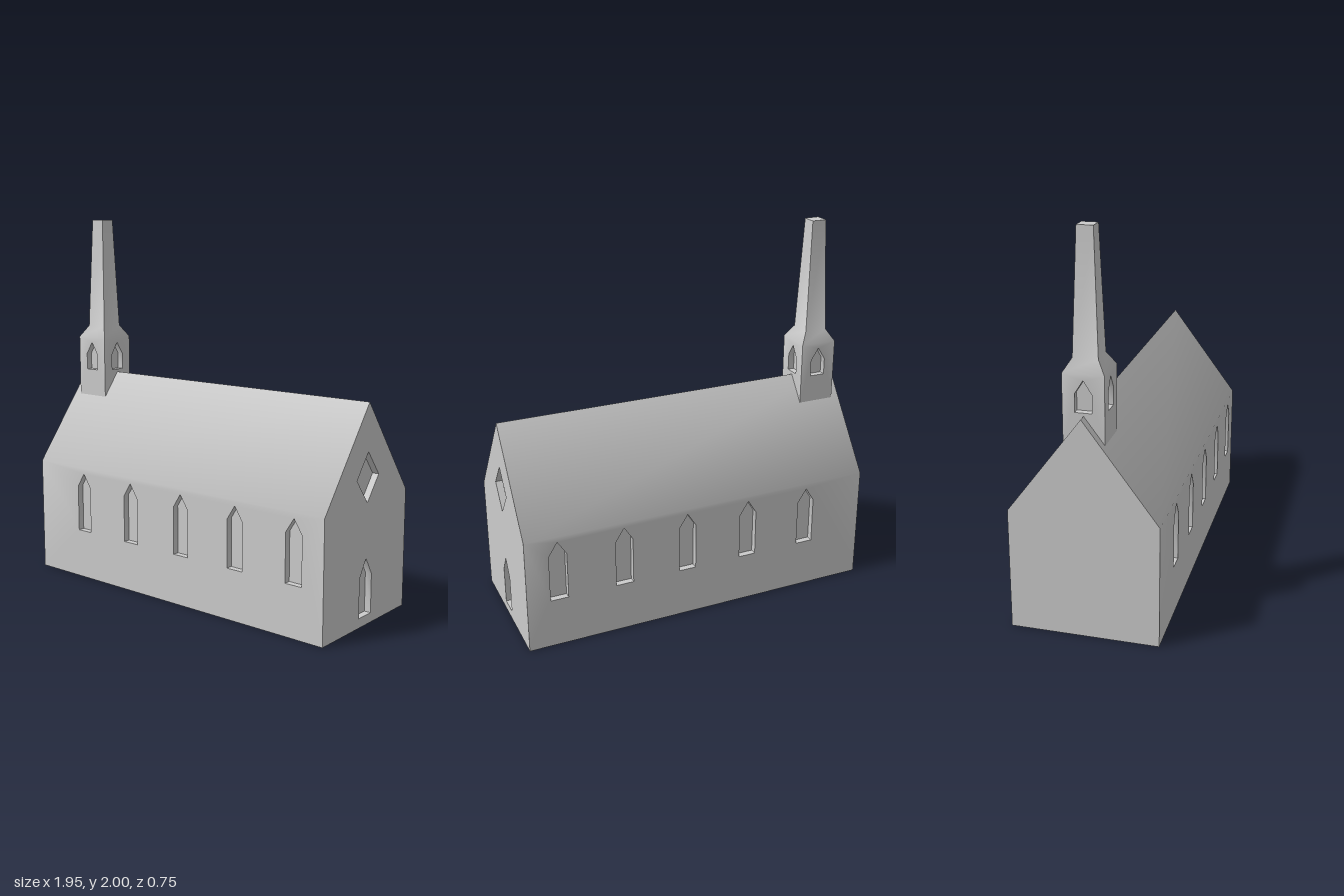
import * as THREE from 'three';
import { mergeGeometries, toCreasedNormals } from 'three/addons/utils/BufferGeometryUtils.js';

const RECESS = 0.035;
const HALF_L = 0.977, HALF_W = 0.375, EAVE = 0.63, RIDGE = 1.13;
const TOWER_X = -0.83, TOWER_R = 0.102, TOWER_TOP = 1.33;

// Flat quads given as four corners, counter-clockwise from outside
function quads(list) {
  const pos = [];
  for (const [a, b, c, d] of list) pos.push(...a, ...b, ...c, ...a, ...c, ...d);
  const g = new THREE.BufferGeometry();
  g.setAttribute('position', new THREE.Float32BufferAttribute(pos, 3));
  return g;
}

const toVecs = (pts) => pts.map(([x, y]) => new THREE.Vector2(x, y));

function flat(shape) {
  const g = new THREE.ShapeGeometry(shape).toNonIndexed();
  g.deleteAttribute('uv');
  g.deleteAttribute('normal');
  return g;
}

// Wall facing +z with recessed openings (counter-clockwise outlines)
function wall(outline, openings = []) {
  const shape = new THREE.Shape(toVecs(outline));
  const parts = [];
  for (const pts of openings) {
    shape.holes.push(new THREE.Path(toVecs(pts)));
    parts.push(flat(new THREE.Shape(toVecs(pts))).translate(0, 0, -RECESS));
    parts.push(quads(pts.map(([x, y], i) => {
      const [u, v] = pts[(i + 1) % pts.length];
      return [[x, y, 0], [u, v, 0], [u, v, -RECESS], [x, y, -RECESS]];
    })));
  }
  return mergeGeometries([flat(shape), ...parts]);
}

// Pointed window or door outline
const lancet = (x, halfW, y0, y1, peak) =>
  [[x - halfW, y0], [x + halfW, y0], [x + halfW, y1], [x, peak], [x - halfW, y1]];

// Height of the roof surface at distance z from the ridge
const roofY = (z) => RIDGE - (RIDGE - EAVE) * z / HALF_W;

export function createModel() {
  const group = new THREE.Group();
  const stone = new THREE.MeshStandardMaterial({ color: 0xcccccc });
  stone.name = 'light grey stone';

  const add = (name, parts) => {
    const mesh = new THREE.Mesh(toCreasedNormals(mergeGeometries(parts), 0.8), stone);
    mesh.name = name;
    group.add(mesh);
  };

  // Nave: side walls, gables, roof slopes and floor
  const side = [[-HALF_L, 0], [HALF_L, 0], [HALF_L, EAVE], [-HALF_L, EAVE]];
  const gable = [[-HALF_W, 0], [HALF_W, 0], [HALF_W, EAVE], [0, RIDGE], [-HALF_W, EAVE]];
  const sideWindows = (s) => [-0.63, -0.272, 0.086, 0.445, 0.804]
    .map((x) => lancet(s * x, 0.048, 0.27, 0.525, 0.6));
  const door = lancet(0, 0.055, 0.05, 0.255, 0.347);
  const diamond = [[0, 0.63], [0.1, 0.757], [0, 0.885], [-0.1, 0.757]];
  const L = HALF_L, W = HALF_W;
  add('nave', [
    wall(side, sideWindows(1)).translate(0, 0, W),
    wall(side, sideWindows(-1)).translate(0, 0, W).rotateY(Math.PI),
    wall(gable, [door, diamond]).translate(0, 0, L).rotateY(Math.PI / 2),
    wall(gable).translate(0, 0, L).rotateY(-Math.PI / 2),
    quads([
      [[-L, EAVE, W], [L, EAVE, W], [L, RIDGE, 0], [-L, RIDGE, 0]],
      [[L, EAVE, -W], [-L, EAVE, -W], [-L, RIDGE, 0], [L, RIDGE, 0]],
      [[-L, 0, -W], [L, 0, -W], [L, 0, W], [-L, 0, W]],
    ]),
  ]);

  // Tower: belfry walls fitted over the ridge, flared shoulder and tapering spire
  const R = TOWER_R, foot = roofY(R);
  const belfryWindow = lancet(0, 0.042, 1.145, 1.235, 1.302);
  const square = [[-R, foot], [R, foot], [R, TOWER_TOP], [-R, TOWER_TOP]];
  const saddle = [[-R, foot], [0, RIDGE], [R, foot], [R, TOWER_TOP], [-R, TOWER_TOP]];
  const rings = [[R, TOWER_TOP], [0.062, 1.395], [0.04, 2]];
  const tower = [];
  for (let i = 0; i < 4; i++) {
    const face = wall(i % 2 ? saddle : square, [belfryWindow]).translate(0, 0, R);
    const slopes = quads([0, 1].map((k) => {
      const [r, y] = rings[k], [q, h] = rings[k + 1];
      return [[-r, y, r], [r, y, r], [q, h, q], [-q, h, q]];
    }));
    tower.push(face.rotateY(i * Math.PI / 2), slopes.rotateY(i * Math.PI / 2));
  }
  const t = 0.04;
  tower.push(quads([[[-t, 2, t], [t, 2, t], [t, 2, -t], [-t, 2, -t]]]));
  add('towerAndSpire', tower.map((g) => g.translate(TOWER_X, 0, 0)));

  return group;
}
